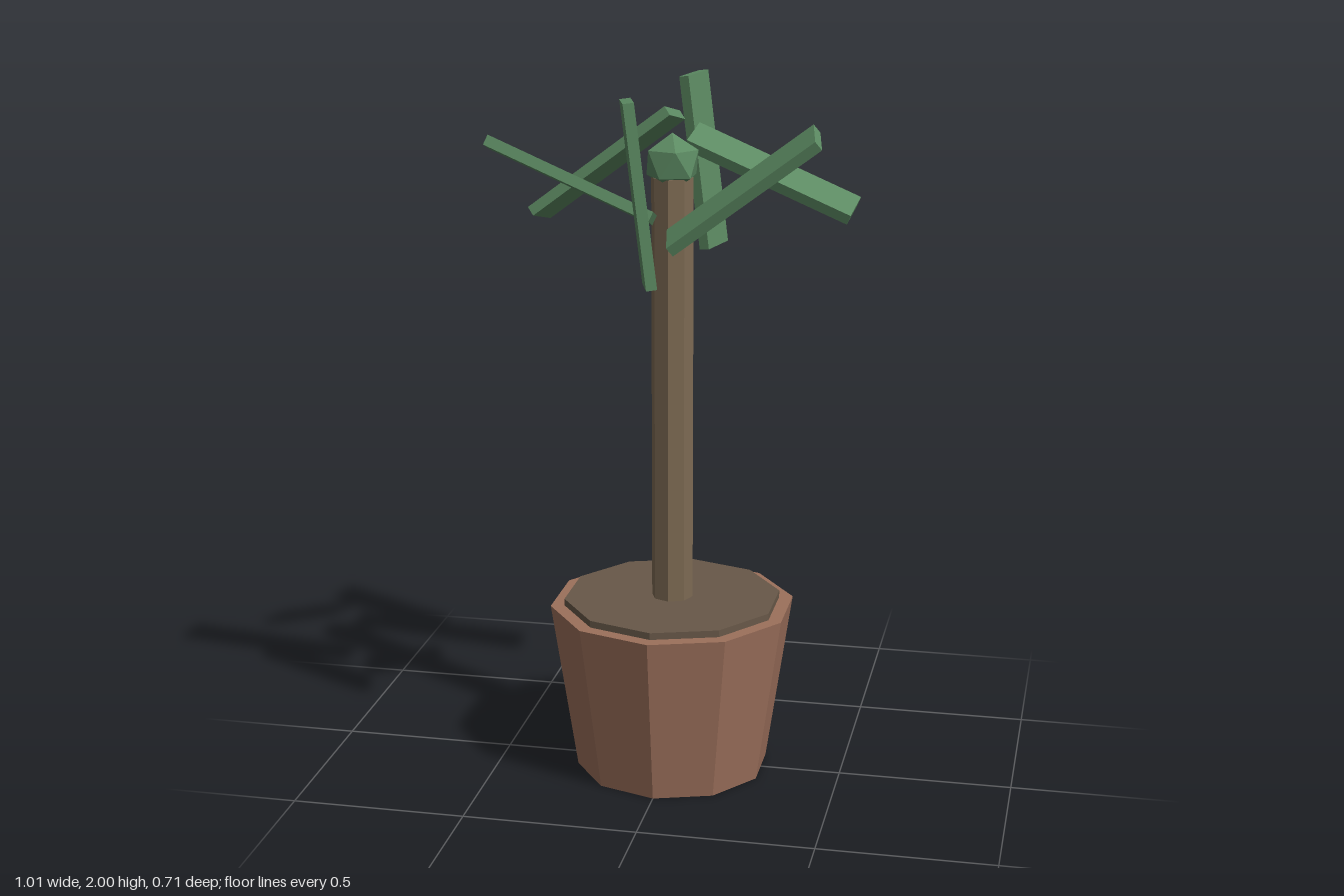
import * as THREE from 'three';

const mat = (color) => new THREE.MeshStandardMaterial({ color, flatShading: true });

export function createModel() {
  const model = new THREE.Group();
  model.name = 'pottedPalm';

  const add = (name, geometry, material, x, y, z) => {
    const mesh = new THREE.Mesh(geometry, material);
    mesh.name = name;
    mesh.position.set(x, y, z);
    model.add(mesh);
    return mesh;
  };

  const leafMaterial = mat(0x5c8a62);

  // Tapered ten-sided pot with a disc of soil just proud of its rim
  add('pot', new THREE.CylinderGeometry(0.355, 0.28, 0.5, 10), mat(0x9c705b), 0, 0.25, 0);
  add('soil', new THREE.CylinderGeometry(0.315, 0.315, 0.04, 10), mat(0x685848), 0, 0.5, 0);

  // Straight eight-sided trunk
  add('trunk', new THREE.CylinderGeometry(0.06, 0.06, 1.25, 8), mat(0x7d6a53), 0, 1.125, 0);

  // Faceted crown bud, turned so that one corner points straight up
  const bud = new THREE.IcosahedronGeometry(0.082, 0);
  bud.rotateZ(-Math.atan(2 / (1 + Math.sqrt(5))));
  add('crownBud', bud, leafMaterial, 0, 1.79, 0);

  // Six slab leaves in a ring, each rolled about its length and pitched by its ring angle
  const leafGeometry = new THREE.BoxGeometry(0.5, 0.03, 0.12);
  const ringRadius = 0.285;
  for (let i = 0; i < 6; i++) {
    const angle = THREE.MathUtils.degToRad(37 + i * 60);
    const leaf = add(`leaf${i + 1}`, leafGeometry, leafMaterial,
      Math.cos(angle) * ringRadius, 1.75, Math.sin(angle) * ringRadius);
    leaf.rotation.set(0.3, 0, angle, 'ZYX');
  }

  return model;
}
